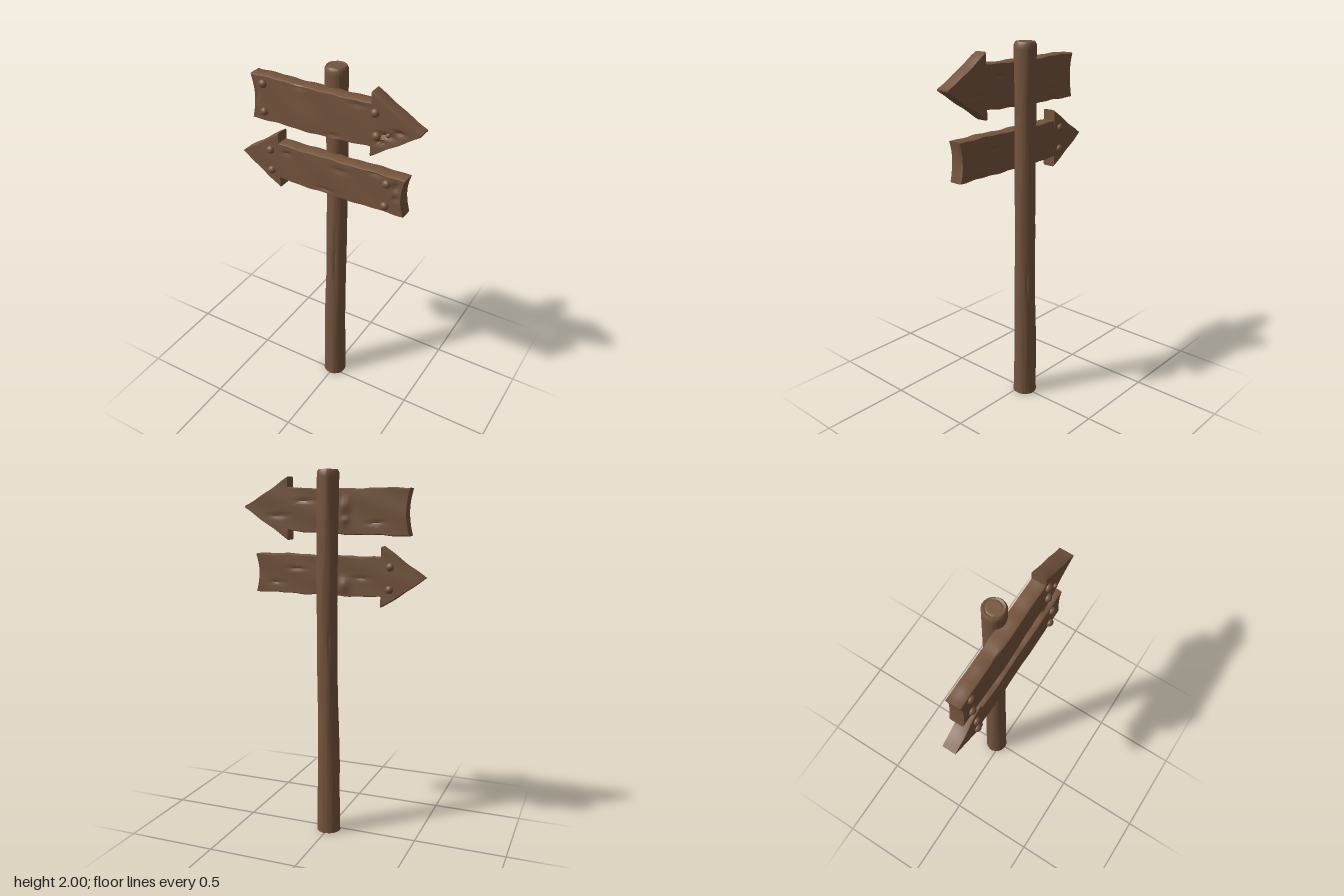
import * as THREE from 'three';
import { toCreasedNormals } from 'three/addons/utils/BufferGeometryUtils.js';

const wood = new THREE.MeshStandardMaterial({ color: 0x75543d });
wood.name = 'brown wood';

// Piecewise-linear lookup in rows of [t, a, b, ...]
function lookup(rows, t, k) {
  for (let i = 1; i < rows.length; i++) {
    if (t <= rows[i][0]) {
      const p = rows[i - 1], q = rows[i];
      return THREE.MathUtils.mapLinear(t, p[0], q[0], p[k], q[k]);
    }
  }
  return rows[rows.length - 1][k];
}

// Skin a list of closed rings of equal length
function loft(rings, crease) {
  const n = rings[0].length, index = [];
  for (let i = 0; i < rings.length - 1; i++) {
    for (let j = 0; j < n; j++) {
      const a = i * n + j, b = i * n + (j + 1) % n;
      index.push(a, b, a + n, b, b + n, a + n);
    }
  }
  const g = new THREE.BufferGeometry();
  g.setAttribute('position', new THREE.Float32BufferAttribute(rings.flat(2), 3));
  g.setIndex(index);
  return toCreasedNormals(g, crease);
}

function add(parent, name, geometry) {
  const mesh = new THREE.Mesh(geometry, wood);
  mesh.name = name;
  parent.add(mesh);
  return mesh;
}

// Soft spot: [centre a, centre b, width a, width b, height]
const spot = (s, a, b) => s[4] * Math.exp(-(((a - s[0]) / s[2]) ** 2) - ((b - s[1]) / s[3]) ** 2);
const spots = (list, a, b) => list.reduce((sum, s) => sum + spot(s, a, b), 0);

// Post: wavering log with cracks, rounded top
function postGeometry() {
  const profile = [ // y, radius, centre x, centre z
    [0, 0.066, -0.001, -0.03], [0.05, 0.064, -0.001, -0.03], [0.4, 0.061, -0.002, -0.031],
    [0.75, 0.056, 0.003, -0.033], [1.3, 0.055, 0.007, -0.036], [1.9, 0.058, 0.003, -0.033],
    [1.985, 0.058, 0.002, -0.033], [2, 0.05, 0.002, -0.033],
  ];
  const cracks = [ // angle (0 = front, + toward +x), y, widths, height
    [0.35, 0.85, 0.1, 0.2, -0.006], [0.6, 0.72, 0.08, 0.09, -0.006], [1.5, 1.63, 0.18, 0.03, -0.006],
    [-2.6, 1.1, 0.1, 0.08, -0.005], [2.5, 0.7, 0.1, 0.12, -0.005], [-1.4, 0.35, 0.1, 0.1, -0.004],
    [2.2, 0.3, 0.09, 0.15, -0.004], [3, 1.6, 0.1, 0.1, -0.004],
  ];
  const ring = (y, scale, lift = 0) => {
    const pts = [];
    for (let j = 0; j < 48; j++) {
      const a = -Math.PI + (j / 48) * Math.PI * 2;
      const r = scale * (lookup(profile, y, 1) + spots(cracks, a, y)
        + 0.0008 * Math.sin(a * 3 + y * 9) + 0.0006 * Math.sin(a * 7 - y * 5));
      pts.push([lookup(profile, y, 2) + r * Math.sin(a), y + lift, lookup(profile, y, 3) + r * Math.cos(a)]);
    }
    return pts;
  };
  const rings = [ring(0, 0)];
  for (let i = 0; i <= 96; i++) rings.push(ring(i * 1.985 / 96, 1));
  rings.push(ring(1.995, 1), ring(2, 0.98), ring(2, 0.8, -0.004), ring(2, 0.65, -0.001), ring(2, 0.4, -0.004), ring(2, 0));
  return loft(rings, 0.7);
}

// Board cross-section: v runs over the height, w over the thickness
const section = [[1, 0.1], [1, 0.5], [1, 0.9]];
for (let i = 0; i <= 24; i++) section.push([0.965 * (1 - i / 12), 1]);
section.push([-1, 0.9], [-1, 0.5], [-1, 0.1]);
for (let i = 0; i <= 24; i++) section.push([-0.965 * (1 - i / 12), 0]);

// Board: stations of [x, bottom, top] joined left to right, one end notched
function boardGeometry({ stations, notchX, notchDepth, front, back }) {
  const ring = (x, lo, hi, close = 1) => section.map(([v0, w0]) => {
    const v = v0 * close, w = 0.5 + (w0 - 0.5) * close;
    const y = (lo + hi) / 2 + v * (hi - lo) / 2;
    const end = Math.max(0, 1 - Math.abs(x - notchX) / 0.08);
    const rough = v * (0.002 * Math.sin(x * 23 + v * 2) + 0.0015 * Math.sin(x * 51));
    const zFront = 0.076 + 0.0012 * Math.sin(x * 17 + y * 31) + spots(front, x, y);
    const zBack = 0.001 + 0.0012 * Math.sin(x * 13 - y * 37) + spots(back, x, y);
    return [x + end * notchDepth * (1 - v * v), y + rough, zBack + (zFront - zBack) * w];
  });
  const first = stations[0], last = stations[stations.length - 1];
  const rings = [ring(...first, 0)];
  for (let i = 0; i < stations.length - 1; i++) {
    const p = stations[i], q = stations[i + 1];
    const steps = Math.max(1, Math.round((q[0] - p[0]) / 0.009));
    for (let s = 0; s <= steps; s++) {
      rings.push(ring(...p.map((c, k) => THREE.MathUtils.lerp(c, q[k], s / steps))));
    }
  }
  rings.push(ring(...last, 0));
  return loft(rings, 0.6);
}

const upper = {
  stations: [[-0.428, 1.665, 1.908], [0, 1.668, 1.903], [0.25, 1.682, 1.908],
    [0.25, 1.63, 1.963], [0.505, 1.802, 1.808]],
  notchX: -0.428, notchDepth: 0.018,
  front: [[-0.12, 1.72, 0.16, 0.12, 0.007], [0.33, 1.76, 0.05, 0.014, -0.013], [0.4, 1.79, 0.03, 0.012, -0.012],
    [0.3, 1.72, 0.03, 0.01, -0.01], [-0.15, 1.895, 0.04, 0.009, -0.006], [0.18, 1.88, 0.04, 0.008, -0.007],
    [0.05, 1.69, 0.04, 0.008, -0.006], [-0.41, 1.8, 0.012, 0.04, -0.006]],
  back: [[-0.075, 1.81, 0.028, 0.04, -0.013], [-0.08, 1.74, 0.02, 0.02, -0.01], [0.15, 1.84, 0.05, 0.008, 0.006],
    [0.3, 1.76, 0.05, 0.01, 0.006], [-0.25, 1.73, 0.05, 0.008, 0.005]],
  frontBolts: [[-0.355, 1.866], [-0.355, 1.716], [0.272, 1.866], [0.283, 1.75], [0.345, 1.77, 0.012]],
  backBolts: [],
};

const lower = {
  stations: [[-0.508, 1.446, 1.452], [-0.28, 1.287, 1.608], [-0.28, 1.345, 1.552],
    [0, 1.341, 1.552], [0.443, 1.345, 1.555]],
  notchX: 0.443, notchDepth: -0.018,
  front: [[-0.05, 1.45, 0.15, 0.1, 0.003], [0.4, 1.5, 0.025, 0.025, -0.012], [0.41, 1.44, 0.02, 0.015, -0.009],
    [0.08, 1.5, 0.05, 0.012, -0.006], [-0.23, 1.505, 0.03, 0.01, -0.007], [0.0, 1.365, 0.06, 0.008, -0.006],
    [0.28, 1.54, 0.04, 0.008, -0.006]],
  back: [[-0.075, 1.4, 0.028, 0.035, -0.012], [0.2, 1.48, 0.05, 0.008, 0.006], [-0.17, 1.44, 0.05, 0.008, 0.005],
    [0.32, 1.4, 0.04, 0.008, 0.005]],
  frontBolts: [[-0.33, 1.505], [-0.327, 1.387], [0.347, 1.51], [0.342, 1.383]],
  backBolts: [[-0.33, 1.505], [-0.327, 1.387]],
};

// Domed bolt heads on a board face
function addBolts(parent, name, list, z) {
  for (const [x, y, r = 0.022] of list) {
    const bolt = add(parent, name, new THREE.SphereGeometry(r, 16, 10));
    bolt.position.set(x, y, z);
    bolt.scale.z = 0.85;
  }
}

export function createModel() {
  const model = new THREE.Group();
  model.name = 'signpost';
  add(model, 'post', postGeometry());
  for (const [name, spec] of [['upperSign', upper], ['lowerSign', lower]]) {
    const sign = new THREE.Group();
    sign.name = name;
    add(sign, 'arrowBoard', boardGeometry(spec));
    addBolts(sign, 'frontBolt', spec.frontBolts, 0.079);
    addBolts(sign, 'backBolt', spec.backBolts, 0.003);
    model.add(sign);
  }
  return model;
}
